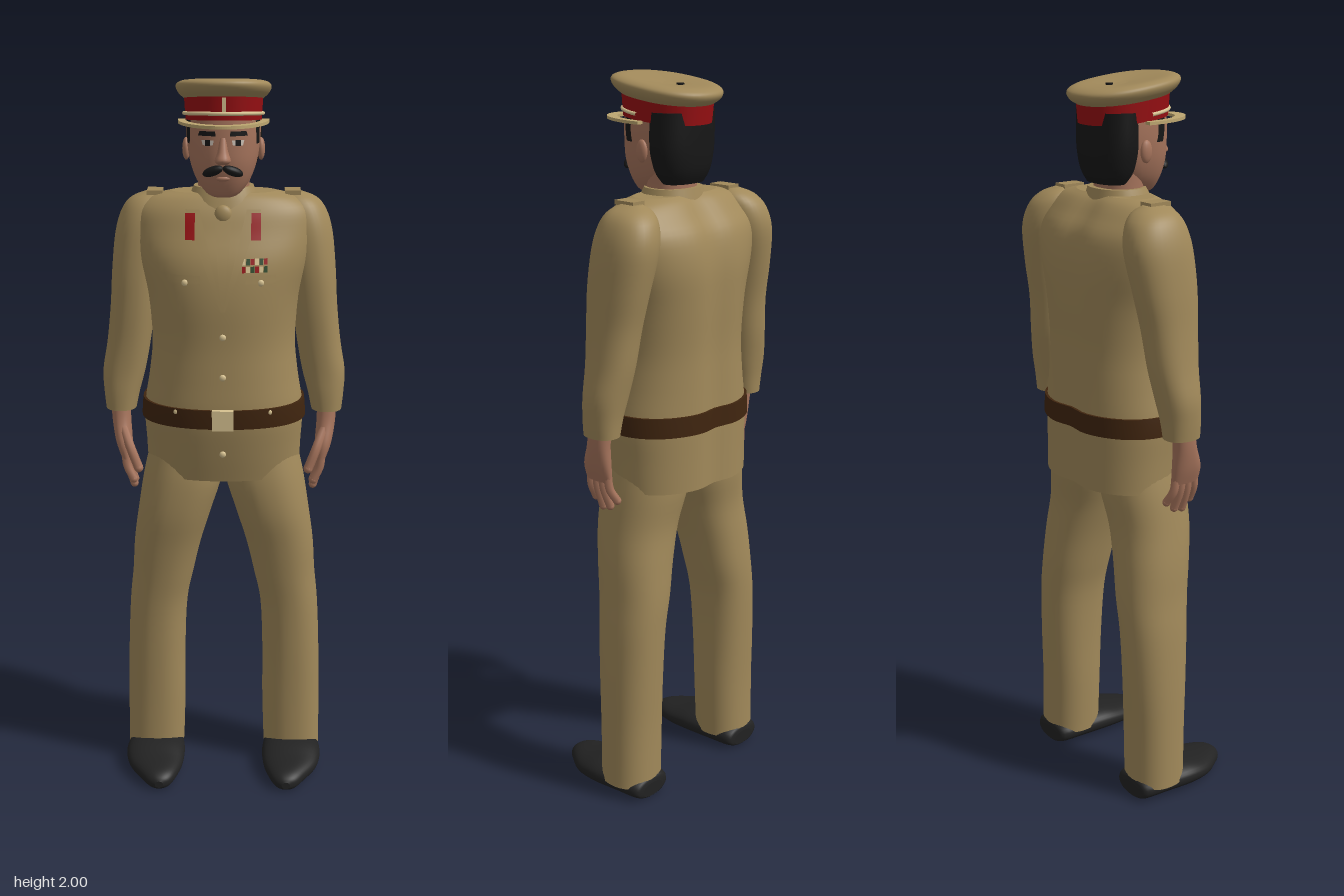
import * as THREE from 'three';

const paint = (name, color, side = THREE.FrontSide) => new THREE.MeshStandardMaterial({ name, color, side });
const M = {
  cloth: paint('khaki cloth', 0xa1895a),
  skin: paint('skin', 0xa6745c),
  black: paint('hair black', 0x171717),
  shoe: paint('shoe leather', 0x222222),
  belt: paint('belt brown', 0x40250f),
  red: paint('red', 0x960f12),
  cream: paint('cream trim', 0xd6c190),
  visor: paint('visor tan', 0xbda670, THREE.DoubleSide),
  white: paint('eye white', 0xcfc4b8),
  green: paint('ribbon green', 0x2f4a2c),
};

// Smooth rows of [y, centreX, centreZ, radiusX, radiusZ] by Catmull-Rom
function smooth(rows, steps = 4) {
  const out = [];
  const at = (i) => rows[Math.max(0, Math.min(rows.length - 1, i))];
  for (let i = 0; i < rows.length - 1; i++) {
    for (let s = 0; s < steps; s++) {
      const t = s / steps;
      out.push(rows[i].map((p1, k) => {
        const p0 = at(i - 1)[k], p2 = at(i + 1)[k], p3 = at(i + 2)[k];
        return 0.5 * (2 * p1 + (p2 - p0) * t + (2 * p0 - 5 * p1 + 4 * p2 - p3) * t * t
          + (3 * p1 - p0 - 3 * p2 + p3) * t * t * t);
      }));
    }
  }
  out.push(rows[rows.length - 1]);
  return out;
}

// Closed skin over superellipse sections, with flat caps; bend(v) may move vertices
const POW = 2.25;
function loft(rows, bend, seg = 36) {
  const pos = [], idx = [], v = new THREE.Vector3();
  const c = (a) => Math.sign(a) * Math.abs(a) ** (2 / POW);
  const put = (x, y, z) => {
    v.set(x, y, z);
    if (bend) bend(v);
    return pos.push(v.x, v.y, v.z) / 3 - 1;
  };
  const ring = ([y, cx, cz, rx, rz]) => {
    const start = pos.length / 3;
    for (let j = 0; j < seg; j++) {
      const a = (j / seg) * Math.PI * 2;
      put(cx + rx * c(Math.sin(a)), y, cz + rz * c(Math.cos(a)));
    }
    return start;
  };
  const starts = rows.map(ring);
  for (let i = 0; i < rows.length - 1; i++) {
    for (let j = 0; j < seg; j++) {
      const k = (j + 1) % seg, a = starts[i], b = starts[i + 1];
      idx.push(a + j, a + k, b + k, a + j, b + k, b + j);
    }
  }
  [rows[0], rows[rows.length - 1]].forEach((r, top) => {
    const s = ring(r), m = put(r[1], r[0], r[2]);
    for (let j = 0; j < seg; j++) {
      const k = (j + 1) % seg;
      if (top) idx.push(m, s + j, s + k); else idx.push(m, s + k, s + j);
    }
  });
  const g = new THREE.BufferGeometry();
  g.setAttribute('position', new THREE.Float32BufferAttribute(pos, 3));
  g.setIndex(idx);
  g.computeVertexNormals();
  return g;
}

// Section of a lofted body at height y, and its front surface depth at x
function section(rows, y) {
  let i = 0;
  while (i < rows.length - 2 && rows[i + 1][0] < y) i++;
  const t = (y - rows[i][0]) / (rows[i + 1][0] - rows[i][0]);
  return rows[i].map((a, k) => a + (rows[i + 1][k] - a) * t);
}
function frontZ(rows, x, y) {
  const [, cx, cz, rx, rz] = section(rows, y);
  return cz + rz * Math.max(0, 1 - Math.abs((x - cx) / rx) ** POW) ** (1 / POW);
}

// Thin four-sided patch lying on the front of a lofted body
function patch(rows, yb, bl, br, yt, tl, tr, lift = 0.005) {
  const g = new THREE.PlaneGeometry(1, 1, 8, 8), p = g.attributes.position;
  for (let i = 0; i < p.count; i++) {
    const u = p.getX(i) + 0.5, w = p.getY(i) + 0.5;
    const x = THREE.MathUtils.lerp(bl + (br - bl) * u, tl + (tr - tl) * u, w);
    const y = yb + (yt - yb) * w;
    p.setXYZ(i, x, y, frontZ(rows, x, y) + lift);
  }
  g.computeVertexNormals();
  return g;
}

export function createModel() {
  const root = new THREE.Group();
  root.name = 'officer';
  const add = (name, geo, mat, x = 0, y = 0, z = 0) => {
    const m = new THREE.Mesh(geo, mat);
    m.name = name;
    m.position.set(x, y, z);
    root.add(m);
    return m;
  };
  const tube = (pts, r) => new THREE.TubeGeometry(
    new THREE.CatmullRomCurve3(pts.map((p) => new THREE.Vector3(...p))), 16, r, 8);

  // Jacket body, with a groove down the spine
  const spine = (v) => { if (v.z < -0.05) v.z += 0.014 * Math.exp(-((v.x / 0.045) ** 2)); };
  const torso = smooth([
    [0.915, 0, -0.043, 0.213, 0.147], [1.0, 0, -0.034, 0.216, 0.156], [1.1, 0, -0.026, 0.22, 0.164],
    [1.2, 0, -0.026, 0.205, 0.162], [1.3, 0, -0.027, 0.196, 0.16], [1.42, 0, -0.028, 0.207, 0.164],
    [1.52, 0, -0.034, 0.235, 0.158], [1.6, 0, -0.042, 0.248, 0.134], [1.65, 0, -0.035, 0.235, 0.107],
    [1.682, 0, -0.032, 0.195, 0.084], [1.697, 0, -0.03, 0.14, 0.066]]);
  add('jacket', loft(torso, spine, 64), M.cloth);
  add('collar', loft([[1.63, 0, -0.02, 0.11, 0.095], [1.68, 0, -0.02, 0.094, 0.082],
    [1.712, 0, -0.024, 0.08, 0.07]]), M.cloth);

  // Belt and buckle
  add('belt', loft([1.076, 1.09, 1.115, 1.13].map((y) => {
    const s = section(torso, y);
    return [y, 0, s[2], s[3] + 0.007, s[4] + 0.007];
  }), spine, 64), M.belt);
  add('buckle', new THREE.BoxGeometry(0.058, 0.056, 0.016), M.cream, 0, 1.103, frontZ(torso, 0, 1.1) + 0.008);

  // Shirt front, tie and lapels
  add('tie', patch(torso, 1.4, -0.004, 0.004, 1.63, -0.022, 0.022, 0.006), M.cloth);
  add('tieKnot', new THREE.SphereGeometry(0.024, 16, 12), M.cloth, 0, 1.645, 0.068).scale.set(1, 1.1, 0.6);
  const button = (x, y) => add('button', new THREE.SphereGeometry(0.009, 12, 8), M.cream,
    x, y, frontZ(torso, x, y) + 0.003).scale.z = 0.6;
  for (const y of [1.0, 1.22, 1.33]) button(0, y);

  for (const s of [-1, 1]) {
    const pair = (a, b) => (s > 0 ? [a, b] : [-b, -a]);
    add('lapel', patch(torso, 1.4, ...pair(0, 0.006), 1.66, ...pair(0.062, 0.1), 0.007), M.cloth);
    add('collarTab', patch(torso, 1.585, ...pair(0.074, 0.1), 1.652, ...pair(0.074, 0.1), 0.012), M.red);
    add('pocketFlap', patch(torso, 1.47, ...pair(0.06, 0.14), 1.495, ...pair(0.06, 0.14), 0.004), M.cloth);
    button(s * 0.1, 1.475);
    button(s * 0.125, 1.12);
    button(s * 0.087, 1.64);
    add('shoulderStrap', new THREE.BoxGeometry(0.042, 0.012, 0.065), M.cloth, s * 0.185, 1.692, -0.042);

    // Sleeve
    add('sleeve', loft(smooth([
      [1.09, s * 0.287, -0.033, 0.042, 0.051], [1.14, s * 0.284, -0.035, 0.05, 0.054],
      [1.2, s * 0.277, -0.04, 0.059, 0.059], [1.28, s * 0.263, -0.045, 0.06, 0.068],
      [1.38, s * 0.25, -0.047, 0.062, 0.078], [1.48, s * 0.24, -0.055, 0.066, 0.09],
      [1.58, s * 0.225, -0.065, 0.071, 0.095], [1.64, s * 0.212, -0.065, 0.066, 0.083],
      [1.673, s * 0.2, -0.06, 0.052, 0.06], [1.69, s * 0.19, -0.055, 0.022, 0.03]])), M.cloth);

    // Hand with fingers and thumb
    add('palm', loft(smooth([
      [0.955, s * 0.271, -0.006, 0.016, 0.044], [1.0, s * 0.279, -0.008, 0.023, 0.045],
      [1.06, s * 0.286, -0.02, 0.026, 0.034], [1.12, s * 0.288, -0.028, 0.027, 0.032]])), M.skin);
    for (let f = 0; f < 4; f++) {
      const z = 0.026 - f * 0.023, tip = [0.895, 0.873, 0.878, 0.9][f];
      add('finger', tube([[s * 0.274, 0.985, z * 0.9], [s * 0.27, 0.935, z], [s * 0.252, tip, z * 1.15 - 0.003]], 0.0115), M.skin);
      add('fingertip', new THREE.SphereGeometry(0.0115, 10, 8), M.skin, s * 0.252, tip, z * 1.15 - 0.003);
    }
    add('thumb', tube([[s * 0.28, 1.04, 0.008], [s * 0.258, 0.99, 0.04], [s * 0.236, 0.935, 0.05]], 0.013), M.skin);
    add('thumbTip', new THREE.SphereGeometry(0.013, 10, 8), M.skin, s * 0.236, 0.935, 0.05);

    // Trouser leg
    add('trouserLeg', loft(smooth([
      [0.04, s * 0.203, -0.05, 0.083, 0.08], [0.2, s * 0.199, -0.048, 0.084, 0.082],
      [0.35, s * 0.197, -0.047, 0.083, 0.088], [0.5, s * 0.19, -0.045, 0.083, 0.095],
      [0.6, s * 0.175, -0.04, 0.088, 0.101], [0.7, s * 0.16, -0.03, 0.096, 0.105],
      [0.8, s * 0.138, -0.02, 0.104, 0.11], [0.9, s * 0.115, -0.025, 0.111, 0.116],
      [0.98, s * 0.108, -0.03, 0.1, 0.11]])), M.cloth);

    // Shoe, lofted heel to toe, then laid along z
    add('shoe', loft(smooth([
      [-0.132, s * 0.2, -0.025, 0.04, 0.02], [-0.12, s * 0.2, -0.033, 0.066, 0.032],
      [-0.05, s * 0.2, -0.037, 0.077, 0.037], [0.03, s * 0.201, -0.038, 0.086, 0.038],
      [0.1, s * 0.197, -0.031, 0.077, 0.031], [0.16, s * 0.187, -0.026, 0.05, 0.026],
      [0.187, s * 0.184, -0.021, 0.031, 0.02], [0.198, s * 0.183, -0.019, 0.012, 0.01]])).rotateX(Math.PI / 2), M.shoe);
  }

  // Medal ribbons on the left breast
  const bars = [M.green, M.cream, M.red];
  for (let r = 0; r < 2; r++) {
    for (let i = 0; i < 6; i++) {
      const x = 0.05 + i * 0.0115, y = 1.503 + r * 0.02;
      add('ribbon', patch(torso, y, x, x + 0.01, y + 0.016, x, x + 0.01, 0.006), bars[(i * 2 + r * 2 + 2) % 3]);
    }
  }

  // Neck and head
  add('neck', loft([[1.63, 0, -0.02, 0.07, 0.062], [1.7, 0, -0.018, 0.068, 0.06], [1.77, 0, -0.02, 0.072, 0.062]]), M.skin);
  const head = smooth([
    [1.692, 0, 0.052, 0.026, 0.022], [1.702, 0, 0.044, 0.045, 0.042], [1.735, 0, 0.025, 0.071, 0.077],
    [1.78, 0, 0.012, 0.088, 0.102], [1.83, 0, 0.003, 0.096, 0.113], [1.88, 0, 0, 0.098, 0.115], [1.92, 0, 0, 0.095, 0.112]]);
  add('head', loft(head), M.skin);
  add('hair', loft(smooth([
    [1.725, 0, -0.058, 0.066, 0.038], [1.76, 0, -0.056, 0.086, 0.056],
    [1.82, 0, -0.053, 0.1, 0.065], [1.91, 0, -0.052, 0.1, 0.067]])), M.black);
  add('nose', loft(smooth([
    [1.783, 0, 0.112, 0.014, 0.014], [1.793, 0, 0.12, 0.021, 0.025],
    [1.815, 0, 0.113, 0.014, 0.022], [1.85, 0, 0.105, 0.009, 0.013]]), null, 16), M.skin);
  add('lips', new THREE.SphereGeometry(0.02, 14, 8), M.skin, 0, 1.745, 0.1).scale.set(1, 0.4, 0.5);
  for (const s of [-1, 1]) {
    const face = (name, mat, yb, yt, a, b, c, d, lift) => (s > 0
      ? add(name, patch(head, yb, a, b, yt, c, d, lift), mat)
      : add(name, patch(head, yb, -b, -a, yt, -d, -c, lift), mat));
    face('eye', M.white, 1.831, 1.844, 0.026, 0.052, 0.023, 0.055, 0.003);
    face('iris', M.black, 1.83, 1.845, 0.033, 0.046, 0.033, 0.046, 0.005);
    face('eyebrow', M.black, 1.855, 1.867, 0.018, 0.064, 0.02, 0.06, 0.006);
    face('sideburn', M.black, 1.83, 1.89, 0.087, 0.094, 0.084, 0.095, 0.003);
    const tache = add('moustache', new THREE.SphereGeometry(0.03, 16, 10), M.black, s * 0.026, 1.765, 0.108);
    tache.scale.set(1, 0.42, 0.5);
    tache.rotation.set(0, s * 0.35, -s * 0.35);
    add('ear', new THREE.SphereGeometry(0.03, 14, 10), M.skin, s * 0.099, 1.81, -0.004).scale.set(0.35, 1, 0.6);
  }

  // Cap: tilted band and crown
  const tilt = (k) => (v) => { v.y += v.z * k; };
  add('capBand', loft([[1.886, 0, -0.003, 0.1, 0.122], [1.95, 0, -0.003, 0.104, 0.127]], tilt(0.07), 48), M.red);
  add('capCrown', loft(smooth([
    [1.94, 0, 0, 0.104, 0.128], [1.953, 0, 0, 0.118, 0.146], [1.968, 0, 0, 0.125, 0.154],
    [1.979, 0, 0, 0.12, 0.147], [1.985, 0, 0, 0.1, 0.122], [1.982, 0, 0, 0.06, 0.07], [1.977, 0, -0.01, 0.015, 0.02]]),
  tilt(0.12), 48), M.cloth);
  add('crownButton', new THREE.CylinderGeometry(0.01, 0.01, 0.006, 12), M.black, 0, 1.975, -0.048);
  const strap = [], brim = new THREE.Shape();
  for (let i = 0; i <= 16; i++) {
    const a = (i / 16 - 0.5) * Math.PI * 0.95;
    strap.push([0.104 * Math.sin(a), 1.902 + 0.01 * Math.cos(a), 0.126 * Math.cos(a)]);
  }
  add('chinStrap', tube(strap, 0.005), M.cream);
  add('capBadge', new THREE.BoxGeometry(0.01, 0.035, 0.008), M.cream, 0.003, 1.935, 0.127);

  // Visor: crescent plate standing clear of the band
  brim.absellipse(0, 0, 0.12, 0.185, -0.05, Math.PI + 0.05, false);
  brim.absellipse(0, 0, 0.1, 0.152, Math.PI + 0.05, -0.05, true);
  const visor = new THREE.ExtrudeGeometry(brim, { depth: 0.008, bevelEnabled: false, curveSegments: 32 });
  add('visor', visor.rotateX(Math.PI / 2), M.visor, 0, 1.887, 0);

  return root;
}
